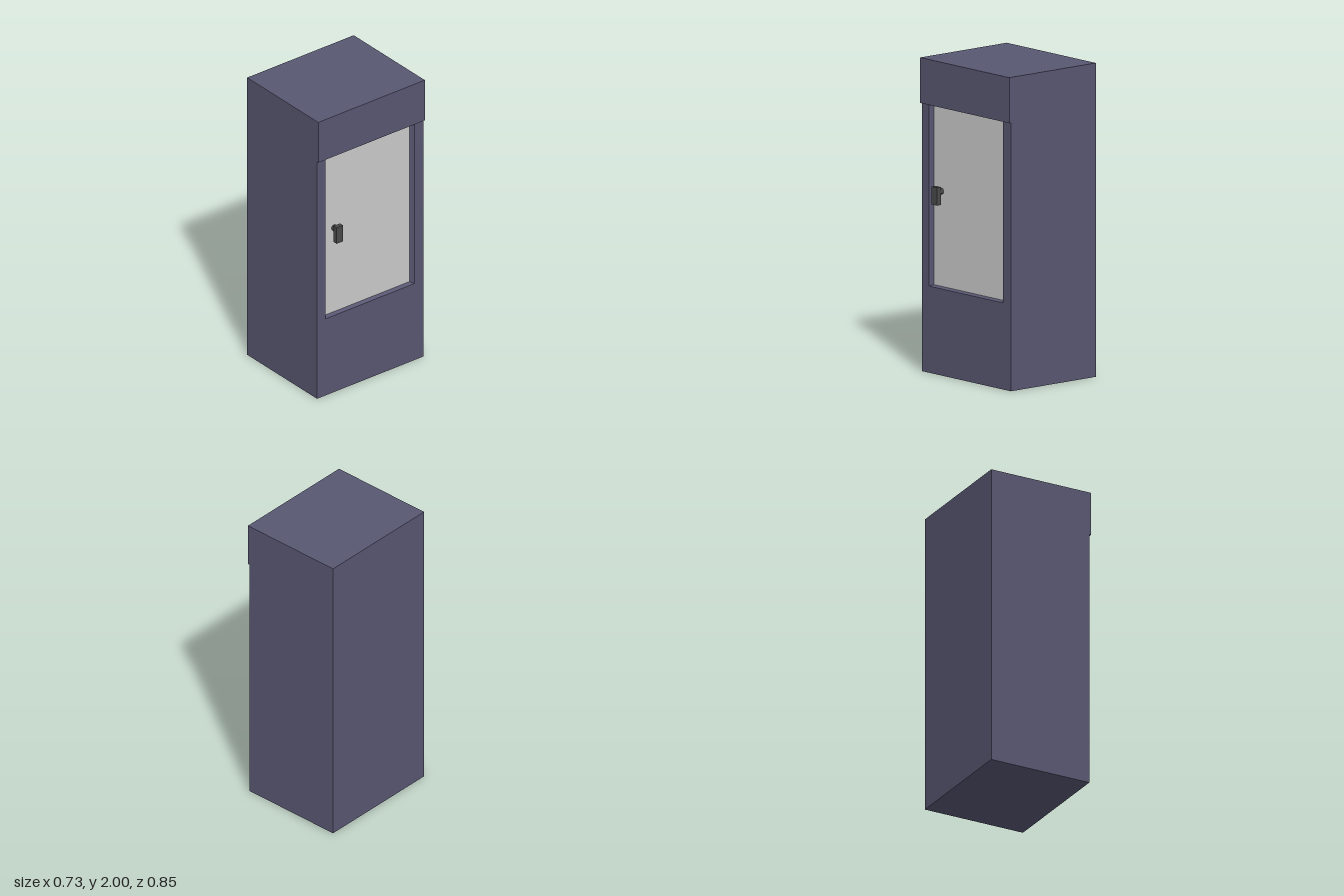
import * as THREE from 'three';

const paint = new THREE.MeshStandardMaterial({ color: 0x595772, flatShading: true });
const grey = new THREE.MeshStandardMaterial({ color: 0xcccccc });
const dark = new THREE.MeshStandardMaterial({ color: 0x4a4a4a });

// Four corners of an upright rectangle at depth x, counter-clockwise seen from +x
const ring = (x, z0, z1, y0, y1) => [[x, y0, z1], [x, y0, z0], [x, y1, z0], [x, y1, z1]];

// Joins successive rectangles with quads; closes the first one only
function loftRings(rings) {
  const pos = [];
  const quad = (a, b, c, d) => pos.push(...a, ...b, ...c, ...a, ...c, ...d);
  const [a, b, c, d] = rings[0];
  quad(d, c, b, a);
  for (let r = 0; r < rings.length - 1; r++) {
    for (let i = 0; i < 4; i++) {
      const j = (i + 1) % 4;
      quad(rings[r + 1][i], rings[r][i], rings[r][j], rings[r + 1][j]);
    }
  }
  const geo = new THREE.BufferGeometry();
  geo.setAttribute('position', new THREE.Float32BufferAttribute(pos, 3));
  geo.computeVertexNormals();
  return geo;
}

export function createModel() {
  const model = new THREE.Group();
  const add = (name, geo, mat, x = 0, y = 0, z = 0) => {
    const mesh = new THREE.Mesh(geo, mat);
    mesh.name = name;
    mesh.position.set(x, y, z);
    model.add(mesh);
    return mesh;
  };

  // Cabinet shell with a tapered door recess in its +x side
  add('cabinet', loftRings([
    ring(-0.369, -0.425, 0.425, 0, 2),
    ring(0.333, -0.425, 0.425, 0, 2),
    ring(0.333, -0.352, 0.358, 0.552, 1.71),
    ring(0.305, -0.335, 0.341, 0.56, 1.71),
  ]), paint);

  // Projecting band above the door
  add('header', new THREE.BoxGeometry(0.014, 0.29, 0.85), paint, 0.339, 1.855, 0);

  // Door panel at the bottom of the recess
  add('doorPanel', new THREE.BoxGeometry(0.01, 1.15, 0.676), grey, 0.3, 1.135, 0.003);

  // Handle: round stem and upright grip
  add('handleStem', new THREE.CylinderGeometry(0.02, 0.02, 0.04, 16), dark, 0.32, 1.167, 0.268)
    .rotation.z = Math.PI / 2;
  add('handleGrip', new THREE.BoxGeometry(0.031, 0.115, 0.051), dark, 0.3495, 1.143, 0.268);

  return model;
}
